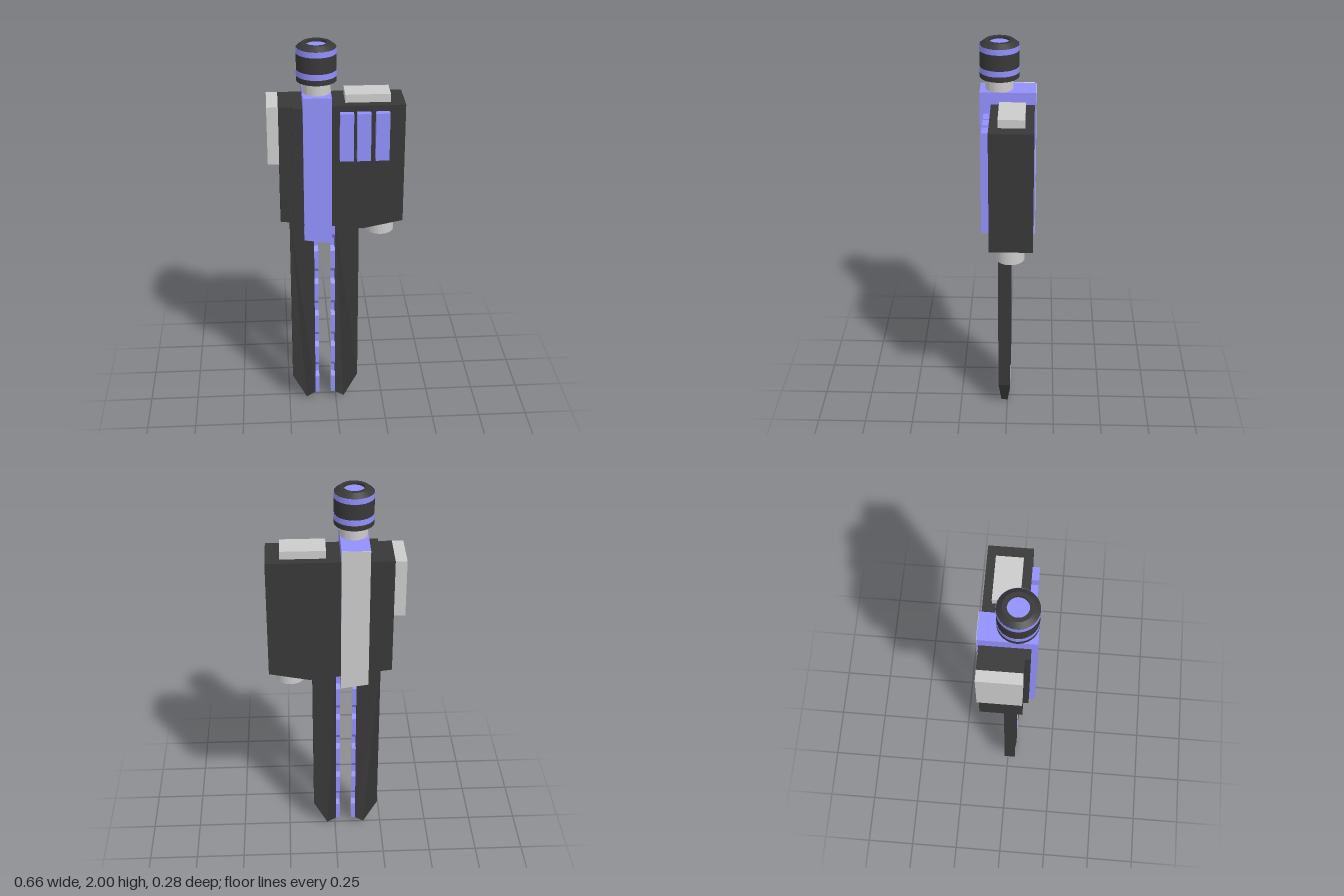
import * as THREE from 'three';
import { toCreasedNormals } from 'three/addons/utils/BufferGeometryUtils.js';

const paint = (color) => new THREE.MeshStandardMaterial({ color });
const grey = paint(0xcccccc);
const black = paint(0x383838);
const violet = paint(0x9290fc);

export function createModel() {
  const model = new THREE.Group();

  const add = (name, geometry, material) => {
    const mesh = new THREE.Mesh(geometry, material);
    mesh.name = name;
    model.add(mesh);
    return mesh;
  };
  // Box given by its limits on each axis
  const box = (name, material, x0, x1, y0, y1, z0, z1) => {
    const g = new THREE.BoxGeometry(x1 - x0, y1 - y0, z1 - z0);
    g.translate((x0 + x1) / 2, (y0 + y1) / 2, (z0 + z1) / 2);
    return add(name, g, material);
  };
  // Front outline extruded from z0 to z1
  const slab = (points, z0, z1) => {
    const shape = new THREE.Shape(points.map(([x, y]) => new THREE.Vector2(x, y)));
    return new THREE.ExtrudeGeometry(shape, { depth: z1 - z0, bevelEnabled: false }).translate(0, 0, z0);
  };
  // Turned part with crisp edges; profile is [radius, y], bottom to top
  const turned = (name, material, profile, x, z) => {
    const pts = profile.map(([r, y]) => new THREE.Vector2(r, y));
    const g = toCreasedNormals(new THREE.LatheGeometry(pts, 40), 0.4);
    return add(name, g.translate(x, 0, z), material);
  };

  // Housing
  add('housing', slab([
    [-0.275, 1.7], [-0.275, 1.1], [-0.16, 1.085], [-0.03, 1.07],
    [0.13, 1.05], [0.33, 1.09], [0.33, 1.7],
  ], -0.13, 0.08), black);
  add('raisedPlate', slab([
    [-0.21, 1.7], [-0.21, 1.092], [-0.15, 1.085], [-0.15, 1.7],
  ], 0.07, 0.105), black);
  box('sideBlock', grey, -0.33, -0.275, 1.41, 1.7, -0.13, 0.08);
  box('topPad', grey, 0.045, 0.262, 1.7, 1.74, -0.088, 0.038);
  for (const x of [0.016, 0.098, 0.187]) {
    box('frontButton', violet, x, x + 0.066, 1.43, 1.67, 0.07, 0.114);
  }

  // Central band with a pale back face
  add('centralBand', slab([
    [-0.16, 1.76], [-0.16, 1.02], [-0.024, 1.0], [-0.024, 1.76],
  ], -0.137, 0.134), violet);
  const back = slab([
    [-0.16, 1.76], [-0.16, 1.02], [-0.024, 1.0], [-0.024, 1.76],
  ], -0.139, -0.137);
  add('bandBackFace', back, grey);

  // Knob on its neck
  const kx = -0.091, kz = 0.04;
  turned('knobNeck', grey, [[0, 1.74], [0.067, 1.74], [0.067, 1.83], [0, 1.83]], kx, kz);
  turned('knob', black, [
    [0, 1.82], [0.095, 1.82], [0.095, 1.98], [0.069, 2], [0.049, 2], [0.049, 1.985],
  ], kx, kz);
  turned('knobCentre', violet, [[0.049, 1.98], [0.049, 1.988], [0, 1.988]], kx, kz);
  for (const [y0, y1] of [[1.846, 1.874], [1.953, 1.98]]) {
    turned('knobBand', violet, [[0.09, y0], [0.096, y0], [0.096, y1], [0.09, y1]], kx, kz);
  }

  // Hollow nozzle under the housing
  turned('nozzle', grey, [
    [0, 1.05], [0.045, 1.05], [0.045, 1.005], [0.05, 1.0], [0.07, 1.0], [0.07, 1.1], [0, 1.1],
  ], 0.225, -0.02);

  // Two mirrored blades with toothed inner strips
  const axis = -0.0575, bladeZ = 0.015;
  for (const side of [-1, 1]) {
    const blade = slab([
      [0.0525, 1.12], [0.0525, 0.04], [0.1, 0.0], [0.1725, 0.15], [0.1725, 1.12],
    ].map(([x, y]) => [axis + side * x, y]), -0.03, 0.03);
    // Thin the tip
    const p = blade.attributes.position;
    for (let i = 0; i < p.count; i++) if (p.getY(i) < 0.02) p.setZ(i, p.getZ(i) * 0.55);
    blade.computeVertexNormals();
    add(side < 0 ? 'rightBlade' : 'leftBlade', blade.translate(0, 0, bladeZ), black);

    // Strip outline: wide teeth joined by narrow waists, both edges alike
    const edge = [];
    const wide = 0.029, narrow = 0.013, pitch = 0.192;
    for (let i = 0; i < 6; i++) {
      const y = 0.04 + i * pitch;
      const top = i === 5 ? 1.09 : y + 0.1;
      edge.push([wide, y], [wide, top]);
      if (i < 5) edge.push([narrow, y + 0.125], [narrow, y + 0.167]);
    }
    const outline = edge.concat(edge.map(([z, y]) => [-z, y]).reverse());
    const strip = slab(outline, -0.011, 0.011).rotateY(Math.PI / 2);
    strip.translate(axis + side * 0.0425, 0, bladeZ);
    add('toothedStrip', strip, [grey, violet]);
  }

  return model;
}
